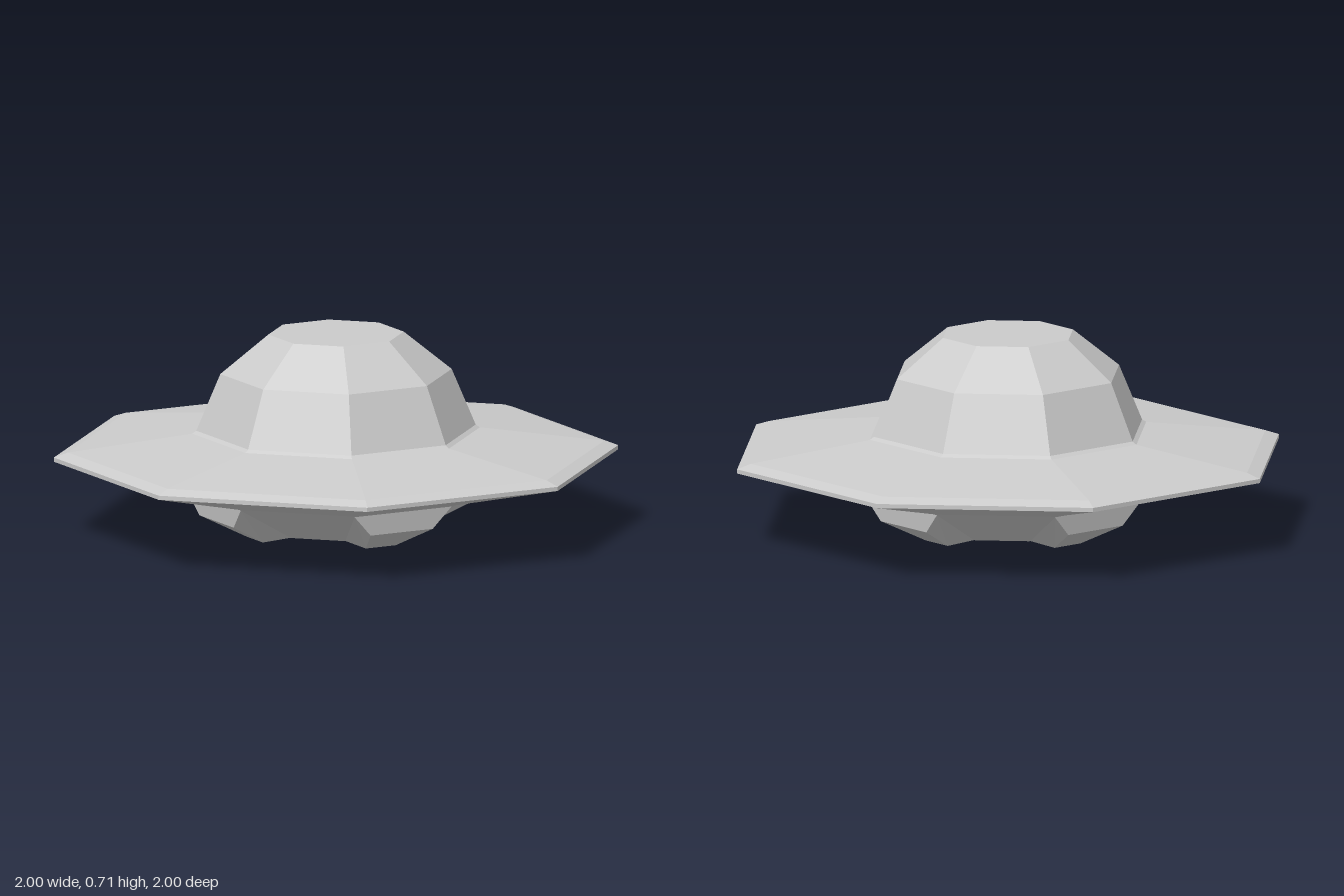
import * as THREE from 'three';

const SIDES = 8;
const material = new THREE.MeshStandardMaterial({ color: 0xcccccc, flatShading: true });

// Eight-sided turned part; profile runs bottom to top as [radius, y]
function turned(name, profile) {
  const points = profile.map(([r, y]) => new THREE.Vector2(r, y));
  const mesh = new THREE.Mesh(new THREE.LatheGeometry(points, SIDES), material);
  mesh.name = name;
  return mesh;
}

// Landing pod: a tapered wedge swept across x, sections as [halfWidth, y, z]
function podGeometry() {
  const sections = [
    [0.195, 0.155, 0.49], // upper edge on the hull
    [0.125, 0.08, 0.48],  // outer ridge
    [0.06, 0, 0.327],     // foot
    [0.09, 0.013, 0.23],  // inner edge at the belly
  ];
  const positions = [];
  const index = [];
  for (const [w, y, z] of sections) positions.push(-w, y, z, w, y, z);
  for (let i = 0; i < 4; i++) {
    const a = 2 * i;
    const b = 2 * ((i + 1) % 4);
    index.push(a, b, b + 1, a, b + 1, a + 1);
  }
  // Left and right cheeks
  index.push(0, 4, 2, 0, 6, 4, 1, 3, 5, 1, 5, 7);
  const geometry = new THREE.BufferGeometry();
  geometry.setAttribute('position', new THREE.Float32BufferAttribute(positions, 3));
  geometry.setIndex(index);
  const flat = geometry.toNonIndexed();
  flat.computeVertexNormals();
  return flat;
}

export function createModel() {
  const model = new THREE.Group();
  model.name = 'flyingSaucer';

  model.add(turned('belly', [[0, 0.013], [0.25, 0.013], [0.54, 0.16]]));
  model.add(turned('lowerHull', [[0.54, 0.16], [1, 0.27]]));
  model.add(turned('rim', [[1, 0.27], [1, 0.285], [0.95, 0.302]]));
  model.add(turned('upperHull', [[0.95, 0.302], [0.51, 0.36], [0.495, 0.37]]));
  model.add(turned('dome', [[0.495, 0.37], [0.41, 0.572], [0.24, 0.71], [0, 0.71]]));

  // Four pods, one on every other face of the belly
  const geometry = podGeometry();
  for (let i = 0; i < 4; i++) {
    const pod = new THREE.Mesh(geometry, material);
    pod.name = `landingPod${i + 1}`;
    pod.rotation.y = Math.PI / SIDES + (i * Math.PI) / 2;
    model.add(pod);
  }
  return model;
}
